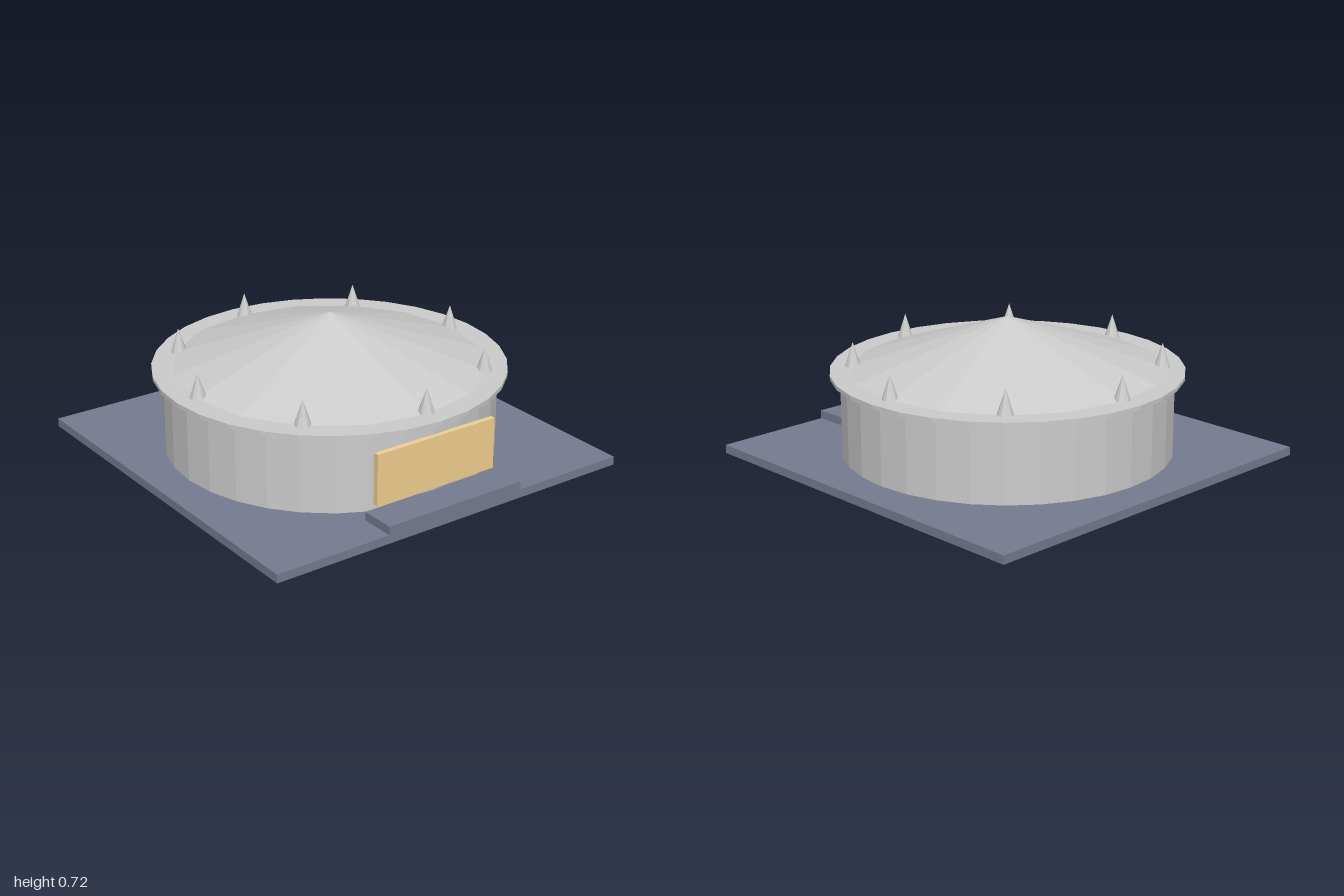
import * as THREE from 'three';

export function createModel() {
  const model = new THREE.Group();
  const material = (color) => new THREE.MeshStandardMaterial({ color, flatShading: true });
  const grey = material(0xcccccc);
  const slate = material(0x757b90);
  const gold = material(0xf0d090);

  function add(name, geometry, mat, x, y, z) {
    const mesh = new THREE.Mesh(geometry, mat);
    mesh.name = name;
    mesh.position.set(x, y, z);
    model.add(mesh);
    return mesh;
  }

  // Square ground slab and the entrance step
  add('baseSlab', new THREE.BoxGeometry(2, 0.043, 2), slate, 0, 0.0215, 0);
  add('entranceStep', new THREE.BoxGeometry(0.78, 0.045, 0.18), slate, 0, 0.0635, 0.91);

  // Round hall with an overhanging rim
  add('wall', new THREE.CylinderGeometry(0.828, 0.828, 0.4, 32), grey, 0, 0.243, 0);
  add('roofRim', new THREE.CylinderGeometry(0.878, 0.878, 0.02, 32), grey, 0, 0.448, 0);

  // Shallow faceted roof
  add('roof', new THREE.ConeGeometry(0.78, 0.26, 16), grey, 0, 0.587, 0);

  // Entrance panel
  add('entrancePanel', new THREE.BoxGeometry(0.69, 0.26, 0.028), gold, 0, 0.241, 0.836);

  // Ring of spikes around the roof edge
  const spike = new THREE.ConeGeometry(0.041, 0.125, 10);
  for (let i = 0; i < 8; i++) {
    const a = (i / 8) * Math.PI * 2;
    add('roofSpike', spike, grey, Math.sin(a) * 0.763, 0.52, Math.cos(a) * 0.763);
  }

  return model;
}
